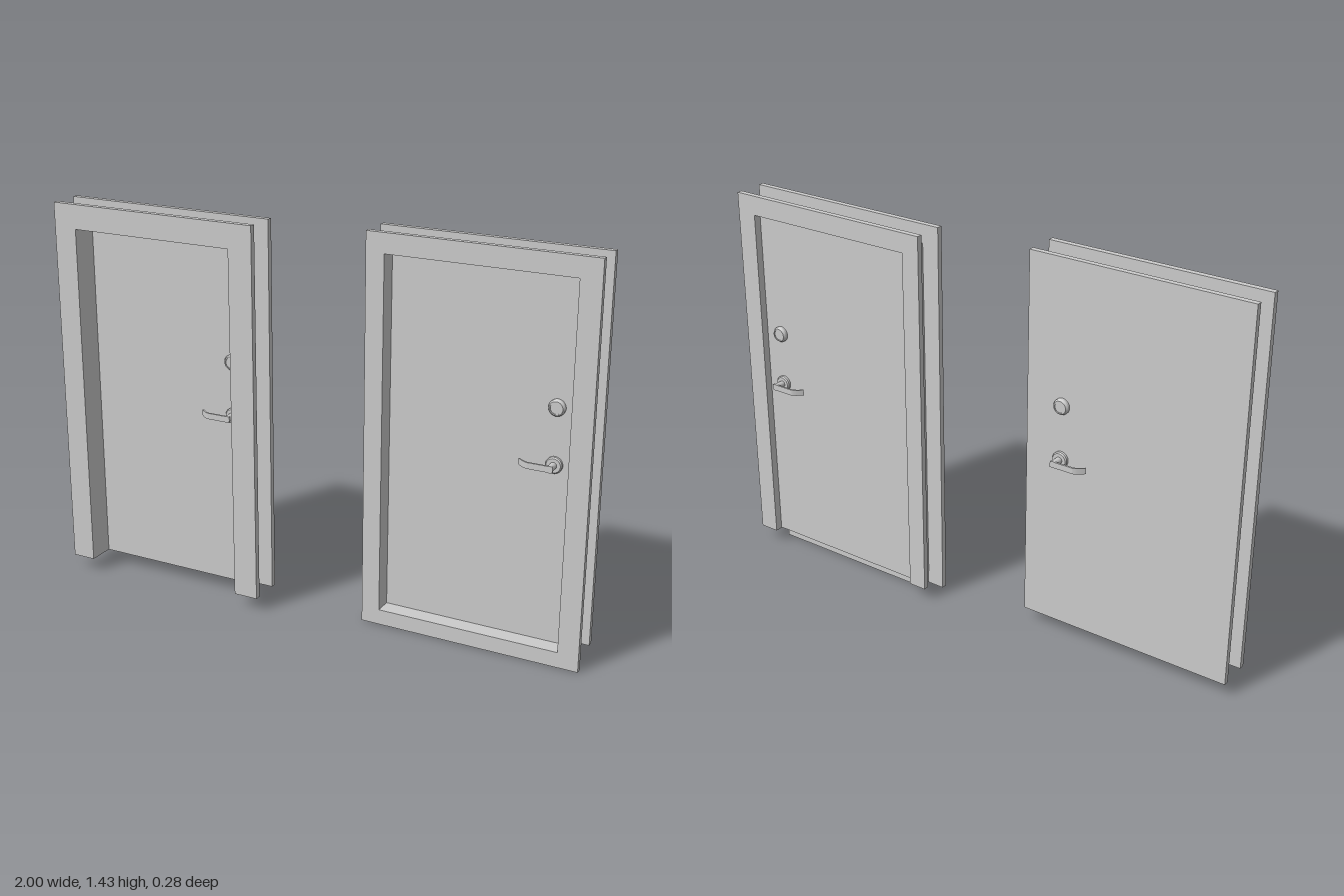
import * as THREE from 'three';

const mat = new THREE.MeshStandardMaterial({ color: 0xcccccc });

function add(parent, name, geo) {
  const mesh = new THREE.Mesh(geo, mat);
  mesh.name = name;
  parent.add(mesh);
  return mesh;
}

// Box given by its limits on each axis
function box(parent, name, [x0, x1], [y0, y1], [z0, z1]) {
  const geo = new THREE.BoxGeometry(x1 - x0, y1 - y0, z1 - z0);
  geo.translate((x0 + x1) / 2, (y0 + y1) / 2, (z0 + z1) / 2);
  return add(parent, name, geo);
}

// Flat casing around an opening; the opening runs out at the bottom unless it has a sill height
function casing(parent, name, [x0, x1], [y0, y1], [a, b], top, [z0, z1], sillTop) {
  const s = new THREE.Shape();
  const outline = pts => pts.map(p => new THREE.Vector2(...p));
  if (sillTop === undefined) {
    s.setFromPoints(outline([[x0, y0], [a, y0], [a, top], [b, top], [b, y0], [x1, y0], [x1, y1], [x0, y1]]));
  } else {
    s.setFromPoints(outline([[x0, y0], [x1, y0], [x1, y1], [x0, y1]]));
    s.holes.push(new THREE.Path(outline([[a, sillTop], [a, top], [b, top], [b, sillTop]])));
  }
  const geo = new THREE.ExtrudeGeometry(s, { depth: z1 - z0, bevelEnabled: false });
  geo.translate(0, 0, z0);
  add(parent, name, geo);
}

// Thin sheet lining on both sides and the top of an opening
function lining(parent, name, [a, b], y0, top, z) {
  const t = 0.003;
  const g = new THREE.Group();
  g.name = name;
  box(g, 'jambRight', [a - t, a], [y0, top + t], z);
  box(g, 'jambLeft', [b, b + t], [y0, top + t], z);
  box(g, 'head', [a, b], [top, top + t], z);
  parent.add(g);
}

// Round fitting turned about the z axis, from [radius, distance] points
function turned(parent, name, pts, y) {
  // Doubled points keep the corners crisp
  const profile = pts.flatMap((p, i) => {
    const v = new THREE.Vector2(...p);
    return i > 0 && i < pts.length - 1 ? [v, v.clone()] : [v];
  });
  const geo = new THREE.LatheGeometry(profile, 32);
  geo.rotateX(Math.PI / 2);
  geo.translate(0, y, 0);
  mat.side = THREE.DoubleSide;
  return add(parent, name, geo);
}

// Lever handle, pointing to -x, standing off a surface towards +z
function lever() {
  const g = new THREE.Group();
  g.name = 'leverHandle';
  turned(g, 'rose', [[0, 0], [0.029, 0], [0.029, 0.009], [0.025, 0.014], [0, 0.014]], 0);
  turned(g, 'stem', [[0, 0.012], [0.0125, 0.012], [0.0125, 0.053], [0, 0.053]], 0);
  const s = new THREE.Shape();
  s.moveTo(0.011, 0.053);
  s.lineTo(-0.078, 0.053);
  s.quadraticCurveTo(-0.092, 0.05, -0.117, 0.026);
  s.lineTo(-0.113, 0.023);
  s.quadraticCurveTo(-0.092, 0.043, -0.078, 0.046);
  s.lineTo(0.011, 0.046);
  const geo = new THREE.ExtrudeGeometry(s, { depth: 0.022, bevelEnabled: false, curveSegments: 8 });
  geo.translate(0, 0, -0.011);
  geo.rotateX(Math.PI / 2);
  add(g, 'grip', geo);
  return g;
}

// Lock with a raised rim around its cylinder
function lock() {
  const g = new THREE.Group();
  g.name = 'lock';
  turned(g, 'rim', [[0, 0], [0.029, 0], [0.029, 0.01], [0.024, 0.018], [0.02, 0.018], [0.02, 0.015], [0, 0.015]], 0);
  return g;
}

// Lever and lock on both faces of a leaf
function hardware(parent, x, zFront, zBack) {
  for (const [z, turn] of [[zFront, 0], [zBack, Math.PI]]) {
    for (const [part, y] of [[lever(), 0.705], [lock(), 0.905]]) {
      part.position.set(x, y, z);
      part.rotation.x = turn;
      parent.add(part);
    }
  }
}

// Door without sill: leaf flush with the back casing, shut against a rebate
function flushDoor() {
  const g = new THREE.Group();
  g.name = 'flushDoor';
  const X = [-1, -0.185], Y = [0.05, 1.43];
  const inner = [-0.911, -0.277], wide = [-0.928, -0.257];
  casing(g, 'frontCasing', X, Y, inner, 1.34, [0.117, 0.139]);
  lining(g, 'reveal', inner, 0.05, 1.34, [0.04, 0.118]);
  casing(g, 'rebate', wide, [0.05, 1.356], inner, 1.34, [0.039, 0.041]);
  lining(g, 'rebateLining', wide, 0.05, 1.356, [0.022, 0.041]);
  casing(g, 'backCasing', X, Y, wide, 1.356, [0.003, 0.024]);
  box(g, 'leaf', wide, [0.05, 1.356], [0.003, 0.039]);
  hardware(g, -0.326, 0.039, 0.003);
  return g;
}

// Door with sill: leaf set back between both casings
function sillDoor() {
  const g = new THREE.Group();
  g.name = 'sillDoor';
  const X = [0.183, 0.997];
  const open = [0.251, 0.922];
  casing(g, 'frontCasing', X, [0, 1.43], open, 1.358, [-0.003, 0.018], 0.057);
  lining(g, 'reveal', open, 0.05, 1.358, [-0.113, -0.002]);
  casing(g, 'backCasing', X, [0.05, 1.43], open, 1.358, [-0.114, -0.093]);
  box(g, 'sill', open, [0, 0.057], [-0.046, 0.017]);
  box(g, 'leaf', open, [0.052, 1.358], [-0.085, -0.046]);
  hardware(g, 0.853, -0.046, -0.085);
  return g;
}

export function createModel() {
  const model = new THREE.Group();
  model.name = 'doorPair';
  model.add(flushDoor(), sillDoor());
  return model;
}
